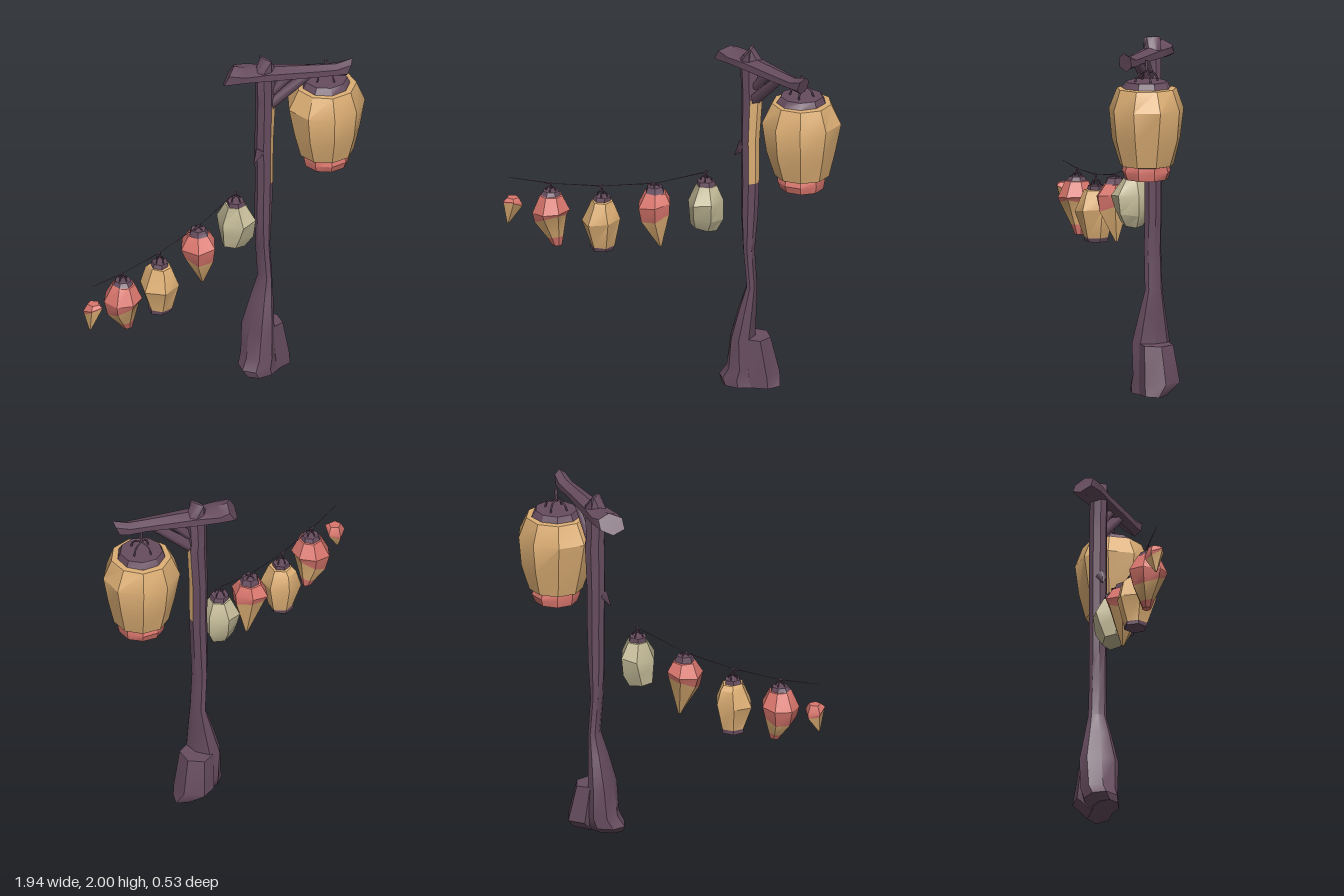
import * as THREE from 'three';
import { toCreasedNormals } from 'three/addons/utils/BufferGeometryUtils.js';

const mat = (name, color) => {
  const m = new THREE.MeshStandardMaterial({ color });
  m.name = name;
  return m;
};

export function createModel() {
  const model = new THREE.Group();
  model.name = 'lanternPost';
  const mats = [
    mat('dark wood', 0x674d5f), mat('amber paper', 0xdcae74),
    mat('coral paper', 0xd9766d), mat('pale paper', 0xc4bb98),
  ];
  const WOOD = 0, AMBER = 1, CORAL = 2, PALE = 3;

  const add = (name, geo, m = mats[WOOD], parent = model) => {
    const mesh = new THREE.Mesh(geo, m);
    mesh.name = name;
    parent.add(mesh);
    return mesh;
  };

  // Closed loft, bottom to top. Ring: [y, rx, rz, dx, dz, tiltX, tiltZ].
  // colour(band, side) picks the material of each face.
  function loft(rings, sides, colour = () => WOOD, wobble = 0, crease = 0.6, phase = 0) {
    const pts = rings.map(([y, rx, rz, dx = 0, dz = 0, tx = 0, tz = 0], i) =>
      Array.from({ length: sides }, (_, j) => {
        const a = phase + (j / sides) * Math.PI * 2;
        const k = 1 + wobble * Math.sin(j * 5.1 + i * 2.3);
        const c = Math.cos(a), s = Math.sin(a);
        return [dx + rx * k * c, y + tx * c + tz * s, dz + rz * k * s];
      }));
    const pos = [], geo = new THREE.BufferGeometry();
    const face = (m, ...corners) => {
      geo.addGroup(pos.length / 3, corners.length, m);
      corners.forEach((p) => pos.push(...p));
    };
    const last = rings.length - 1;
    const mid = (i) => [rings[i][3] || 0, rings[i][0], rings[i][4] || 0];
    for (let j = 0; j < sides; j++) {
      const n = (j + 1) % sides;
      face(colour(0, j), pts[0][j], pts[0][n], mid(0));
      for (let i = 0; i < last; i++) {
        const a = pts[i][j], b = pts[i][n], c = pts[i + 1][j], d = pts[i + 1][n];
        face(colour(i, j), a, c, b, b, c, d);
      }
      face(colour(last - 1, j), pts[last][n], pts[last][j], mid(last));
    }
    geo.setAttribute('position', new THREE.Float32BufferAttribute(pos, 3));
    return toCreasedNormals(geo, crease);
  }

  const V = (x, y, z) => new THREE.Vector3(x, y, z);

  // Tapered stick between two points
  function stick(name, a, b, r1, r2, sides = 5, parent = model) {
    const d = b.clone().sub(a);
    const m = add(name, new THREE.CylinderGeometry(r2, r1, d.length(), sides), mats[WOOD], parent);
    m.position.copy(a).add(b).multiplyScalar(0.5);
    m.quaternion.setFromUnitVectors(V(0, 1, 0), d.normalize());
    return m;
  }

  // Trunk, with a bare amber strip on its front left side
  add('trunk', loft([
    [0, 0.11, 0.075, 0.38, -0.075], [0.04, 0.12, 0.1, 0.37, -0.1], [0.1, 0.095, 0.105, 0.385, -0.11],
    [0.28, 0.07, 0.112, 0.382, -0.112], [0.45, 0.05, 0.078, 0.41, -0.11],
    [0.58, 0.03, 0.052, 0.433, -0.11], [0.8, 0.033, 0.05, 0.416, -0.11],
    [1.0, 0.047, 0.05, 0.42, -0.11], [1.2, 0.05, 0.05, 0.425, -0.108],
    [1.45, 0.053, 0.052, 0.424, -0.108], [1.7, 0.06, 0.05, 0.434, -0.105],
    [1.74, 0.055, 0.05, 0.43, -0.105], [1.93, 0.065, 0.05, 0.43, -0.102],
    [2.0, 0.008, 0.047, 0.43, -0.102],
  ], 8, (i, j) => (i >= 8 && i <= 9 && j < 2 ? AMBER : WOOD)), mats);

  // Root block beside the foot
  add('rootBlock', loft([
    [0, 0.11, 0.07, 0.49, -0.08], [0.07, 0.1, 0.117, 0.485, -0.125],
    [0.28, 0.085, 0.1, 0.455, -0.118, -0.006],
  ], 6, undefined, 0.03), mats);

  stick('thorn', V(0.39, 1.42, -0.1), V(0.335, 1.35, -0.1), 0.035, 0.001, 4);

  // Diagonal crossbeam, lofted along its length (local x points up)
  const dir = V(0.52, 0, 0.42).normalize(), up = V(0, 1, 0);
  const beam = add('crossbeam', loft([
    [0, 0.055, 0.075, 0, 0, 0.03, 0.02], [0.09, 0.038, 0.085], [0.22, 0.04, 0.07],
    [0.5, 0.034, 0.05], [0.6, 0.036, 0.045], [0.67, 0.055, 0.04, 0.015, 0, 0.02],
  ], 6, undefined, 0.06), mats);
  beam.matrixAutoUpdate = true;
  beam.quaternion.setFromRotationMatrix(
    new THREE.Matrix4().makeBasis(up, dir, up.clone().cross(dir)));
  beam.position.set(0.27, 1.907, -0.23);

  // Braces under the beam
  stick('brace', V(0.45, 1.7, -0.09), V(0.63, 1.9, 0.06), 0.035, 0.028);
  stick('shortBrace', V(0.46, 1.78, -0.08), V(0.55, 1.9, -0.01), 0.025, 0.03);

  // Wire hanger: stem with four legs arching down to the cap
  function hanger(parent, yCap, yTop, r, t) {
    const fork = yCap + (yTop - yCap) * 0.5;
    stick('hangerStem', V(0, fork, 0), V(0, yTop, 0), t, t * 1.3, 5, parent);
    for (let k = 0; k < 4; k++) {
      const a = (k * Math.PI) / 2, c = Math.cos(a), s = Math.sin(a);
      const curve = new THREE.CatmullRomCurve3([
        V(0, fork, 0), V(c * r * 0.7, fork - (fork - yCap) * 0.3, s * r * 0.7), V(c * r, yCap - 0.01, s * r)]);
      add('hangerLeg', new THREE.TubeGeometry(curve, 5, t * 0.8, 4), mats[WOOD], parent);
    }
  }

  function lantern(name, x, z, rings, bands, sides, hook, wobble = 0.06, phase = 0) {
    const g = new THREE.Group();
    g.name = name;
    g.position.set(x, 0, z);
    add(name + 'Body', loft(rings, sides, (i) => bands[i], wobble, 0.55, phase), mats, g);
    if (hook) hanger(g, rings[rings.length - 1][0], ...hook);
    model.add(g);
  }

  // Large lantern under the beam
  lantern('largeLantern', 0.75, 0.05, [
    [1.27, 0.09, 0.09], [1.257, 0.122, 0.122], [1.3, 0.135, 0.135], [1.33, 0.13, 0.13],
    [1.335, 0.155, 0.15], [1.48, 0.195, 0.19], [1.65, 0.22, 0.214],
    [1.765, 0.17, 0.165], [1.768, 0.138, 0.138], [1.803, 0.118, 0.118],
  ], [WOOD, CORAL, CORAL, AMBER, AMBER, AMBER, AMBER, AMBER, WOOD], 9, [1.92, 0.07, 0.007], 0.025);

  // String of small lanterns
  lantern('paleLantern', 0.18, -0.08, [
    [0.915, 0.075, 0.06, -0.015, 0, -0.015], [0.99, 0.098, 0.1, -0.005, 0, -0.02],
    [1.08, 0.1, 0.122, 0.003, 0, 0.01], [1.168, 0.06, 0.06], [1.17, 0.055, 0.055], [1.195, 0.05, 0.05],
  ], [PALE, PALE, PALE, PALE, WOOD], 6, [1.25, 0.035, 0.005]);
  lantern('pointedLantern', -0.11, -0.08, [
    [0.78, 0.008, 0.008, 0.03], [0.975, 0.088, 0.094, 0, 0, 0.02, -0.03],
    [1.035, 0.1, 0.112, 0, 0, 0.015], [1.1, 0.065, 0.065], [1.102, 0.058, 0.058], [1.135, 0.045, 0.045],
  ], [AMBER, CORAL, CORAL, CORAL, WOOD], 6, [1.155, 0.03, 0.005], 0.05, 0.3);
  lantern('amberLantern', -0.41, -0.08, [
    [0.737, 0.065, 0.065], [0.76, 0.068, 0.068], [0.91, 0.11, 0.115, 0, 0, 0.015],
    [1.0, 0.07, 0.085], [1.025, 0.06, 0.065], [1.027, 0.05, 0.05], [1.05, 0.045, 0.045],
  ], [WOOD, AMBER, AMBER, AMBER, AMBER, WOOD], 6, [1.115, 0.03, 0.005]);
  lantern('coralLantern', -0.7, -0.075, [
    [0.74, 0.028, 0.025, 0.035], [0.785, 0.045, 0.042, 0.025, 0, 0.01, 0.01],
    [0.89, 0.09, 0.095, 0.002, 0, 0.03, 0.035], [0.945, 0.106, 0.112, 0, 0, 0.01],
    [1.035, 0.065, 0.065], [1.037, 0.058, 0.058], [1.06, 0.045, 0.045],
  ], [CORAL, AMBER, CORAL, CORAL, CORAL, WOOD], 7, [1.105, 0.03, 0.005], 0.04);
  lantern('smallestLantern', -0.92, -0.085, [
    [0.84, 0.006, 0.006, -0.025], [0.95, 0.055, 0.053, 0, 0, 0, 0.03],
    [0.965, 0.057, 0.055, 0, 0, 0, 0.02], [0.997, 0.035, 0.035],
  ], [AMBER, CORAL, CORAL], 5, null, 0.05);

  // Hanging cord, thickening at each hook
  const cord = [[-0.94, 1.116], [-0.7, 1.1], [-0.41, 1.11], [-0.11, 1.152], [0.19, 1.248]];
  for (let i = 0; i < cord.length - 1; i++) {
    const a = V(...cord[i], -0.08), b = V(...cord[i + 1], -0.08);
    stick('cord', a, b, 0.0015, 0.003, 4);
    const knot = a.clone().lerp(b, 0.82);
    stick('cordKnot', knot, b, 0.002, 0.007, 4);
  }

  return model;
}
